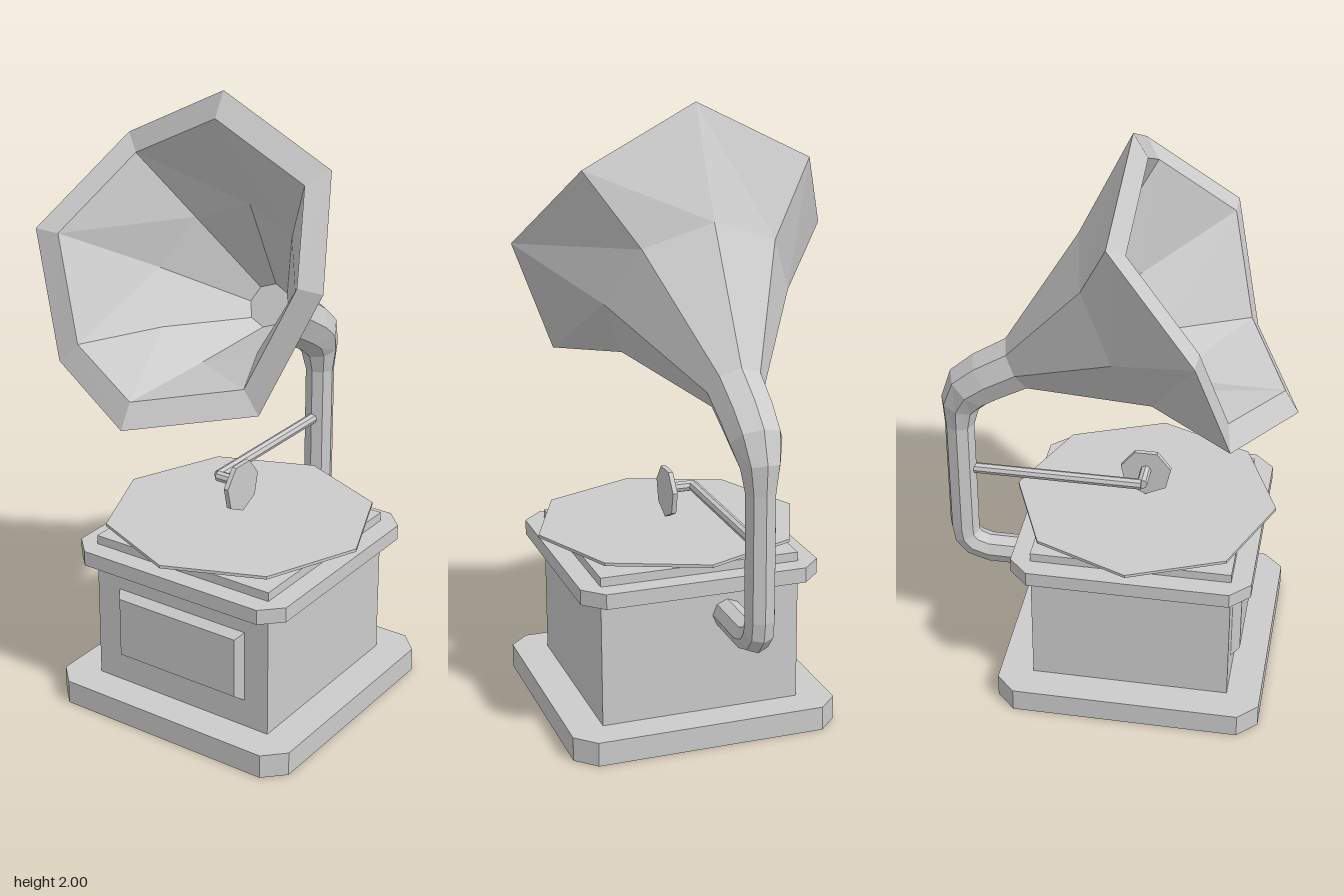
import * as THREE from 'three';

const material = new THREE.MeshStandardMaterial({ color: 0xcccccc, flatShading: true, side: THREE.DoubleSide });

function add(parent, name, geometry, x = 0, y = 0, z = 0) {
  const mesh = new THREE.Mesh(geometry, material);
  mesh.name = name;
  mesh.position.set(x, y, z);
  parent.add(mesh);
  return mesh;
}

// Skin a list of closed loops that all have the same number of points
function loft(rings) {
  const n = rings[0].length;
  const index = [];
  for (let i = 0; i < rings.length - 1; i++) {
    for (let k = 0; k < n; k++) {
      const a = i * n + k, b = i * n + (k + 1) % n;
      index.push(a, a + n, b + n, a, b + n, b);
    }
  }
  const geometry = new THREE.BufferGeometry().setFromPoints(rings.flat());
  geometry.setIndex(index);
  const flat = geometry.toNonIndexed();
  flat.computeVertexNormals();
  return flat;
}

// Horizontal rectangle with cut corners
function cutRect(hx, hz, cut, y) {
  return [
    [hx, cut - hz], [hx, hz - cut], [hx - cut, hz], [cut - hx, hz],
    [-hx, hz - cut], [-hx, cut - hz], [cut - hx, -hz], [hx - cut, -hz],
  ].map(([x, z]) => new THREE.Vector3(x, y, z));
}

// Octagon centred on x = 0, facing forward and tilted up by some degrees;
// "sweep" pushes every second corner backward
function octagon(y, z, radius, degrees, sweep = 0) {
  const a = THREE.MathUtils.degToRad(degrees);
  return Array.from({ length: 8 }, (_, k) => {
    const phi = k * Math.PI / 4;
    const up = radius * Math.cos(phi);
    const back = k % 2 ? sweep : 0;
    return new THREE.Vector3(
      radius * Math.sin(phi),
      y + up * Math.cos(a) - back * Math.sin(a),
      z - up * Math.sin(a) - back * Math.cos(a));
  });
}

function createCabinet() {
  const cabinet = new THREE.Group();
  cabinet.name = 'cabinet';
  cabinet.position.set(0.09, 0, 0.083);
  const half = 0.332, bottom = 0.08, top = 0.585;
  const height = top - bottom, middle = (top + bottom) / 2;

  // Hollow plinth, open underneath
  add(cabinet, 'plinth', loft([
    cutRect(0.445, 0.445, 0.065, 0),
    cutRect(0.445, 0.445, 0.065, bottom),
    cutRect(half, half, 0, bottom),
  ]));

  // Box walls and lid
  for (const [name, turn] of [['rightWall', -1], ['backWall', 2], ['leftWall', 1]]) {
    const wall = new THREE.PlaneGeometry(2 * half, height);
    wall.translate(0, 0, half).rotateY(turn * Math.PI / 2);
    add(cabinet, name, wall, 0, middle, 0);
  }
  add(cabinet, 'lid', new THREE.PlaneGeometry(2 * half, 2 * half).rotateX(-Math.PI / 2), 0, top, 0);

  // Front wall opens into the hollow raised panel
  const px = 0.245, py = 0.122, panelY = 0.295;
  const rect = (x0, y0, x1, y1) => [[x0, y0], [x1, y0], [x1, y1], [x0, y1]]
    .map(([x, y]) => new THREE.Vector2(x, y));
  const front = new THREE.Shape(rect(-half, bottom, half, top));
  front.holes.push(new THREE.Path(rect(-px, panelY - py, px, panelY + py)));
  add(cabinet, 'frontWall', new THREE.ShapeGeometry(front), 0, 0, half);
  add(cabinet, 'frontPanel', loft([
    cutRect(px, py, 0, 0),
    cutRect(px - 0.02, py - 0.02, 0, 0.028),
    cutRect(0, 0, 0, 0.028),
  ]).rotateX(Math.PI / 2), 0, panelY, half);

  // Moulding around the top
  const outer = 0.398;
  add(cabinet, 'topMoulding', loft([
    cutRect(half, half, 0, 0.505),
    cutRect(outer, outer, 0.065, 0.505),
    cutRect(outer, outer, 0.065, 0.555),
    cutRect(half, half, 0, 0.555),
  ]));

  add(cabinet, 'record', new THREE.CylinderGeometry(0.44, 0.44, 0.01, 8), 0, 0.62, 0);
  return cabinet;
}

function createHorn() {
  const horn = new THREE.Group();
  horn.name = 'horn';

  // Bent pipe from inside the cabinet up to the throat: y, z, radius, tilt
  add(horn, 'hornPipe', loft([
    [0.407, 0.03, 0, 180],
    [0.407, 0.03, 0.05, 180],
    [0.407, -0.44, 0.05, 180],
    [0.425, -0.495, 0.05, 150],
    [0.457, -0.522, 0.05, 115],
    [0.5, -0.528, 0.05, 90],
    [0.91, -0.528, 0.05, 90],
    [0.99, -0.523, 0.065, 72],
    [1.06, -0.485, 0.085, 50],
    [1.11, -0.42, 0.09, 36],
    [1.172, -0.315, 0.094, 30],
  ].map((ring) => octagon(...ring))));

  // Flared bell with a scalloped rim, then its lining back to the throat
  add(horn, 'hornBell', loft([
    [1.172, -0.315, 0.094, 30],
    [1.385, 0.035, 0.312, 30],
    [1.54, 0.315, 0.535, 30, 0.11],
    [1.54, 0.315, 0.445, 30, 0.091],
    [1.385, 0.035, 0.26, 30],
    [1.235, -0.21, 0.074, 30],
    [1.235, -0.21, 0, 30],
  ].map((ring) => octagon(...ring))));
  return horn;
}

function createToneArm() {
  const arm = new THREE.Group();
  arm.name = 'toneArm';
  add(arm, 'armRod', new THREE.CylinderGeometry(0.018, 0.018, 0.58, 8).rotateX(Math.PI / 2), 0, 0.733, -0.21);
  add(arm, 'crossRod', new THREE.CylinderGeometry(0.018, 0.018, 0.09, 8).rotateZ(Math.PI / 2), 0.045, 0.733, 0.082);

  // Seven-sided sound box with a corner pointing down
  const head = new THREE.CylinderGeometry(0.087, 0.087, 0.016, 7);
  head.rotateY(Math.PI / 2).rotateZ(-Math.PI / 2);
  add(arm, 'soundBox', head, 0.09, 0.722, 0.082);
  // The cylinder's first corner lies along +x before it is tipped to -y
  return arm;
}

export function createModel() {
  const model = new THREE.Group();
  model.name = 'gramophone';
  model.add(createCabinet(), createHorn(), createToneArm());
  return model;
}
